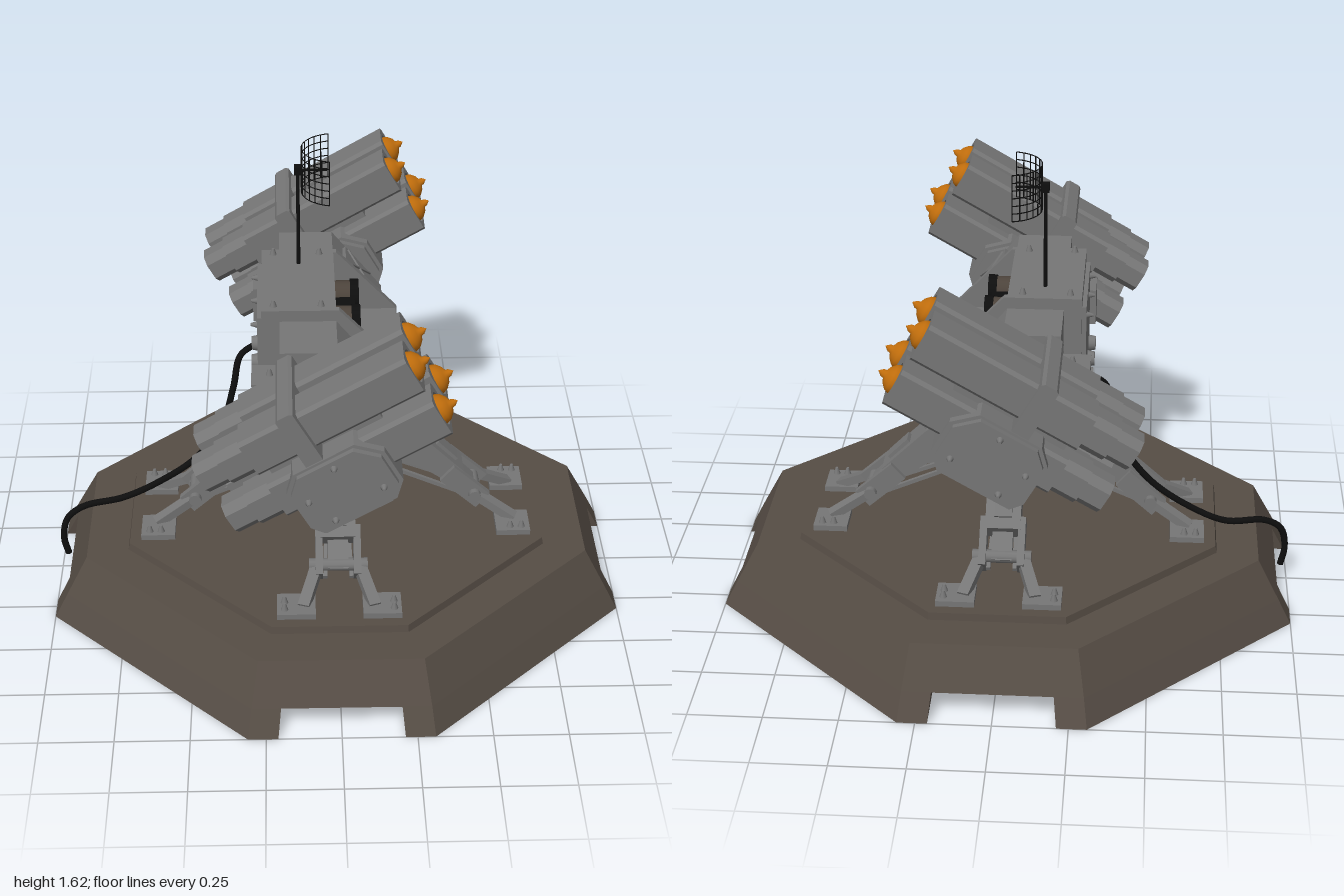
import * as THREE from 'three';
import { ConvexGeometry } from 'three/addons/geometries/ConvexGeometry.js';

const mat = (name, color, side = THREE.FrontSide) => {
  const m = new THREE.MeshStandardMaterial({ color, side });
  m.name = name;
  return m;
};
const V = (x, y, z) => new THREE.Vector3(x, y, z);

export function createModel() {
  const grey = mat('gunmetal grey', 0x767676);
  const earth = mat('earth brown', 0x564d45);
  const orange = mat('warhead orange', 0xbe6c0c);
  const black = mat('black', 0x0e0e0e);
  const lensBrown = mat('lens barrel brown', 0x4c433b);

  const root = new THREE.Group();
  root.name = 'missileTurret';

  // ---- helpers ----
  const add = (parent, name, geo, m, x = 0, y = 0, z = 0) => {
    const mesh = new THREE.Mesh(geo, m);
    mesh.name = name;
    mesh.position.set(x, y, z);
    parent.add(mesh);
    return mesh;
  };
  const group = (parent, name, x = 0, y = 0, z = 0) => {
    const g = new THREE.Group();
    g.name = name;
    g.position.set(x, y, z);
    parent.add(g);
    return g;
  };
  const box = (p, name, m, [x0, x1], [y0, y1], [z0, z1]) =>
    add(p, name, new THREE.BoxGeometry(x1 - x0, y1 - y0, z1 - z0), m, (x0 + x1) / 2, (y0 + y1) / 2, (z0 + z1) / 2);
  const shape = (pts) => new THREE.Shape(pts.map(([x, y]) => new THREE.Vector2(x, y)));
  // x/y outline extruded between two z values
  const slab = (p, name, m, pts, za, zb) => {
    const geo = new THREE.ExtrudeGeometry(shape(pts), { depth: Math.abs(zb - za), bevelEnabled: false });
    return add(p, name, geo, m, 0, 0, Math.min(za, zb));
  };
  // square bar between two points
  const beam = (p, name, m, a, b, w, h) => {
    const mesh = new THREE.Mesh(new THREE.BoxGeometry(w, h, a.distanceTo(b)), m);
    mesh.name = name;
    mesh.position.copy(a).lerp(b, 0.5);
    mesh.lookAt(b);
    p.add(mesh);
  };
  const octagon = (a, h) => [[a, h], [h, a], [-h, a], [-a, h], [-a, -h], [-h, -a], [h, -a], [a, -h]];
  const frustum = (p, name, m, lower, y0, upper, y1) =>
    add(p, name, new ConvexGeometry([...lower.map(([x, z]) => V(x, y0, z)), ...upper.map(([x, z]) => V(x, y1, z))]), m);
  const boltGeo = new THREE.CylinderGeometry(0.005, 0.013, 0.024, 8);
  const bolt = (p, x, y, z, rx = 0, rz = 0) => add(p, 'bolt', boltGeo, grey, x, y, z).rotation.set(rx, 0, rz);

  // ---- base: octagonal slab on four feet, crossed by two channels ----
  const base = group(root, 'base');
  frustum(base, 'baseSlab', earth, octagon(0.954, 0.298), 0.09, octagon(0.88, 0.275), 0.23);
  const foot = (i, a, h) => [[i, i], [a, i], [a, h], [h, a], [i, a]];
  for (let k = 0; k < 4; k++)
    frustum(base, 'baseFoot', earth, foot(0.21, 1, 0.31), 0, foot(0.2, 0.954, 0.298), 0.09).rotation.y = k * Math.PI / 2;
  frustum(base, 'basePad', earth, octagon(0.735, 0.23), 0.23, octagon(0.73, 0.228), 0.255);

  // ---- pedestal ----
  const pedestal = group(root, 'pedestal');
  add(pedestal, 'turntable', new THREE.CylinderGeometry(0.155, 0.155, 0.08, 32), grey, 0, 0.705, 0);
  frustum(pedestal, 'topPlate', grey, octagon(0.245, 0.1), 0.657, octagon(0.245, 0.1), 0.676);
  frustum(pedestal, 'hub', grey, octagon(0.185, 0.1), 0.5, octagon(0.185, 0.1), 0.66);
  frustum(pedestal, 'hubTaper', grey, octagon(0.12, 0.06), 0.4, octagon(0.18, 0.095), 0.5);
  add(pedestal, 'hubFoot', new THREE.CylinderGeometry(0.075, 0.075, 0.06, 16), grey, 0, 0.38, 0);

  // ---- four splayed legs ----
  for (let k = 0; k < 4; k++) {
    const leg = group(root, 'leg');
    slab(leg, 'upperLeg', grey, [[0.15, 0.5], [0.3, 0.455], [0.42, 0.375], [0.46, 0.43], [0.3, 0.585], [0.22, 0.645], [0.15, 0.645]], -0.06, 0.06);
    slab(leg, 'hipBlock', grey, [[0.15, 0.48], [0.24, 0.5], [0.24, 0.62], [0.15, 0.62]], -0.1, 0.1);
    beam(leg, 'legCover', grey, V(0.23, 0.615, 0), V(0.3, 0.575, 0), 0.07, 0.07);
    beam(leg, 'legBox', grey, V(0.36, 0.525, 0), V(0.43, 0.455, 0), 0.06, 0.03);
    for (const s of [-1, 1]) {
      beam(leg, 'clevis', grey, V(0.4, 0.43, s * 0.065), V(0.53, 0.315, s * 0.065), 0.025, 0.075);
      beam(leg, 'lowerArm', grey, V(0.5, 0.345, s * 0.07), V(0.64, 0.27, s * 0.12), 0.04, 0.03);
      box(leg, 'footPlate', grey, [0.57, 0.69], [0.255, 0.275], [s * 0.145 - 0.065, s * 0.145 + 0.065]);
      bolt(leg, 0.62, 0.287, s * 0.185);
      bolt(leg, 0.66, 0.287, s * 0.185);
      beam(leg, 'strut', grey, V(0.13, 0.465, s * 0.03), V(0.52, 0.305, s * 0.045), 0.014, 0.014);
    }
    add(leg, 'ankleBar', new THREE.CylinderGeometry(0.022, 0.022, 0.2, 12), grey, 0.5, 0.345, 0).rotation.x = Math.PI / 2;
    beam(leg, 'shin', grey, V(0.44, 0.4, 0), V(0.51, 0.33, 0), 0.07, 0.04);
    leg.rotation.y = k * Math.PI / 2;
  }

  // ---- central housing with sight bay ----
  const housing = group(root, 'housing');
  slab(housing, 'housingBody', grey, [[-0.25, 0.78], [-0.2, 0.73], [0.22, 0.73], [0.22, 0.955], [0, 0.955], [0, 1.18], [-0.25, 1.18]], -0.2, 0.2);
  for (const s of [-1, 1]) {
    slab(housing, 'housingCheek', grey, [[-0.25, 0.78], [-0.2, 0.73], [0.22, 0.73], [0.225, 0.955], [0.01, 1.18], [-0.25, 1.18]], s * 0.2, s * 0.225);
    for (const x of [-0.21, -0.05]) bolt(housing, x, 1.19, s * 0.19);
    // sight lenses
    const barrel = add(housing, 'sightBarrel', new THREE.CylinderGeometry(0.05, 0.05, 0.06, 24), lensBrown, 0.03, 1.07, s * 0.092);
    barrel.rotation.z = -Math.PI / 2;
    const lens = add(housing, 'sightLens', new THREE.CylinderGeometry(0.055, 0.055, 0.03, 24), black, 0.07, 1.07, s * 0.092);
    lens.rotation.z = -Math.PI / 2;
  }
  box(housing, 'sightBridge', black, [0, 0.07], [1.055, 1.085], [-0.06, 0.06]);
  box(housing, 'frontPanel', grey, [0.22, 0.229], [0.755, 0.905], [-0.195, 0.195]);
  box(housing, 'rearPanel', grey, [-0.265, -0.25], [0.8, 1.14], [-0.2, 0.2]);
  for (const z of [-0.13, 0, 0.13]) {
    add(housing, 'rearSocket', new THREE.CylinderGeometry(0.024, 0.03, 0.03, 16), grey, -0.275, 0.86, z).rotation.z = Math.PI / 2;
    bolt(housing, -0.275, 1.1, z * 1.3, 0, Math.PI / 2);
  }

  // ---- wings, shafts and missile pods, mirrored in z ----
  const lathe = (pts) => new THREE.LatheGeometry(pts.map(([r, y]) => new THREE.Vector2(r, y)), 20);
  const noseGeo = lathe([[0.05, 0], [0.05, 0.07], [0.044, 0.085], [0.028, 0.1], [0.014, 0.106], [0.012, 0.116], [0, 0.13]]);
  const tubeGeo = (size, chamfer, length, bore) => {
    const h = size / 2;
    const sh = shape(octagon(h, h - chamfer));
    if (bore) sh.holes.push(new THREE.Path().absarc(0, 0, bore, 0, Math.PI * 2, true));
    return new THREE.ExtrudeGeometry(sh, { depth: length, bevelEnabled: false, curveSegments: 12 }).rotateY(Math.PI / 2);
  };
  const tubeParts = [
    ['tubeEnd', -0.394, tubeGeo(0.112, 0.026, 0.09)],
    ['tubeCollar', -0.31, tubeGeo(0.125, 0.026, 0.1)],
    ['tubeBody', -0.22, tubeGeo(0.135, 0.012, 0.52)],
    ['tubeMouth', 0.3, tubeGeo(0.135, 0.012, 0.073, 0.056)],
  ];
  const mountOutline = [[-0.17, -0.1], [-0.14, -0.14], [0.12, -0.14], [0.17, -0.09], [0.17, 0.03], [0.1, 0.1], [-0.12, 0.1], [-0.17, 0.05]];

  for (const s of [-1, 1]) {
    const wing = group(root, 'wing');
    slab(wing, 'wingBody', grey, [[-0.19, 0.83], [-0.13, 0.765], [0.17, 0.765], [0.18, 0.92], [0, 1.14], [-0.19, 1.14]], s * 0.22, s * 0.44);
    const z = s * 0.335;
    box(wing, 'frontBox', grey, [0.17, 0.2], [0.775, 0.885], [z - 0.07, z + 0.07]);
    for (const d of [-0.04, 0.04]) bolt(wing, 0.21, 0.83, z + d, 0, -Math.PI / 2);
    box(wing, 'rearBox', grey, [-0.285, -0.19], [0.87, 1.0], [z - 0.065, z + 0.065]);
    bolt(wing, -0.225, 1.01, z);
    // crossed hatch on the sloping face
    const hatch = group(wing, 'hatch', 0.085, 1.036, z);
    hatch.rotation.z = -Math.atan2(0.22, 0.18);
    box(hatch, 'hatchPlate', grey, [-0.075, 0.075], [0, 0.014], [-0.062, 0.062]);
    for (const d of [-1, 1])
      box(hatch, 'hatchRib', grey, [-0.08, 0.08], [0.012, 0.02], [-0.004, 0.004]).rotation.y = d * 0.69;
    // pitch shaft
    add(wing, 'shaft', new THREE.CylinderGeometry(0.065, 0.065, 0.1, 24), grey, 0, 0.94, s * 0.47).rotation.x = Math.PI / 2;
    add(wing, 'shaftFlange', new THREE.CylinderGeometry(0.11, 0.11, 0.025, 24), grey, 0, 0.94, s * 0.487).rotation.x = Math.PI / 2;

    // pod pitched up 30 degrees
    const pod = group(root, 'missilePod', 0, 0.94, 0);
    pod.rotation.z = Math.PI / 6;
    slab(pod, 'podMount', grey, mountOutline, s * 0.52, s * 0.9);
    const plate = mountOutline.map(([x, y]) => [x * 0.92, y * 0.92]);
    slab(pod, 'outerPlate', grey, plate, s * 0.9, s * 0.922);
    slab(pod, 'innerPlate', grey, plate, s * 0.495, s * 0.52);
    for (const [u, v] of [[0.01, 0.068], [-0.12, 0], [-0.08, -0.1], [0.11, -0.07]])
      bolt(pod, u, v, s * 0.93, s * Math.PI / 2);
    slab(pod, 'podBand', grey, [[-0.07, -0.06], [-0.01, -0.06], [-0.01, 0.285], [-0.02, 0.293], [-0.06, 0.293], [-0.07, 0.285]], s * 0.525, s * 0.895);
    box(pod, 'tubeSpacer', grey, [-0.2, 0.2], [0.08, 0.14], [s * 0.71 - 0.1, s * 0.71 + 0.1]);
    for (const v of [0.022, 0.2])
      for (const tz of [0.62, 0.803]) {
        for (const [name, u, geo] of tubeParts) add(pod, name, geo, grey, u, v, s * tz);
        add(pod, 'missileNose', noseGeo, orange, 0.3, v, s * tz).rotation.z = -Math.PI / 2;
      }
  }

  // ---- antenna mast with curved wire dish ----
  const antenna = group(root, 'antenna', -0.122, 0, -0.12);
  add(antenna, 'mast', new THREE.CylinderGeometry(0.006, 0.007, 0.38, 10), black, 0, 1.36, 0);
  box(antenna, 'mastHead', black, [-0.012, 0.014], [1.52, 1.55], [-0.014, 0.014]);
  beam(antenna, 'feedRod', black, V(0, 1.535, 0), V(0.1, 1.535, 0), 0.007, 0.007);
  const R = 0.118, span = 1.36, cx = 0.13;
  for (let i = 0; i <= 6; i++) {
    const ring = new THREE.TorusGeometry(R, 0.002, 4, 20, span * 2).rotateX(Math.PI / 2).rotateY(Math.PI + span);
    add(antenna, 'dishRow', ring, black, cx, 1.455 + i * 0.0267, 0);
  }
  for (let i = 0; i <= 12; i++) {
    const a = -span + (i / 12) * span * 2;
    add(antenna, 'dishColumn', new THREE.CylinderGeometry(0.002, 0.002, 0.16, 4), black, cx - R * Math.cos(a), 1.535, R * Math.sin(a));
  }

  // ---- power hose ----
  const path = new THREE.CatmullRomCurve3([
    V(-0.27, 0.86, -0.13), V(-0.33, 0.82, -0.115), V(-0.358, 0.7, -0.1), V(-0.4, 0.56, -0.085), V(-0.5, 0.42, -0.07),
    V(-0.64, 0.32, -0.065), V(-0.77, 0.262, -0.055), V(-0.91, 0.25, -0.02), V(-0.97, 0.21, -0.005),
    V(-0.988, 0.13, 0), V(-0.975, 0.06, 0),
  ]);
  add(root, 'hose', new THREE.TubeGeometry(path, 70, 0.012, 8), black);
  return root;
}
